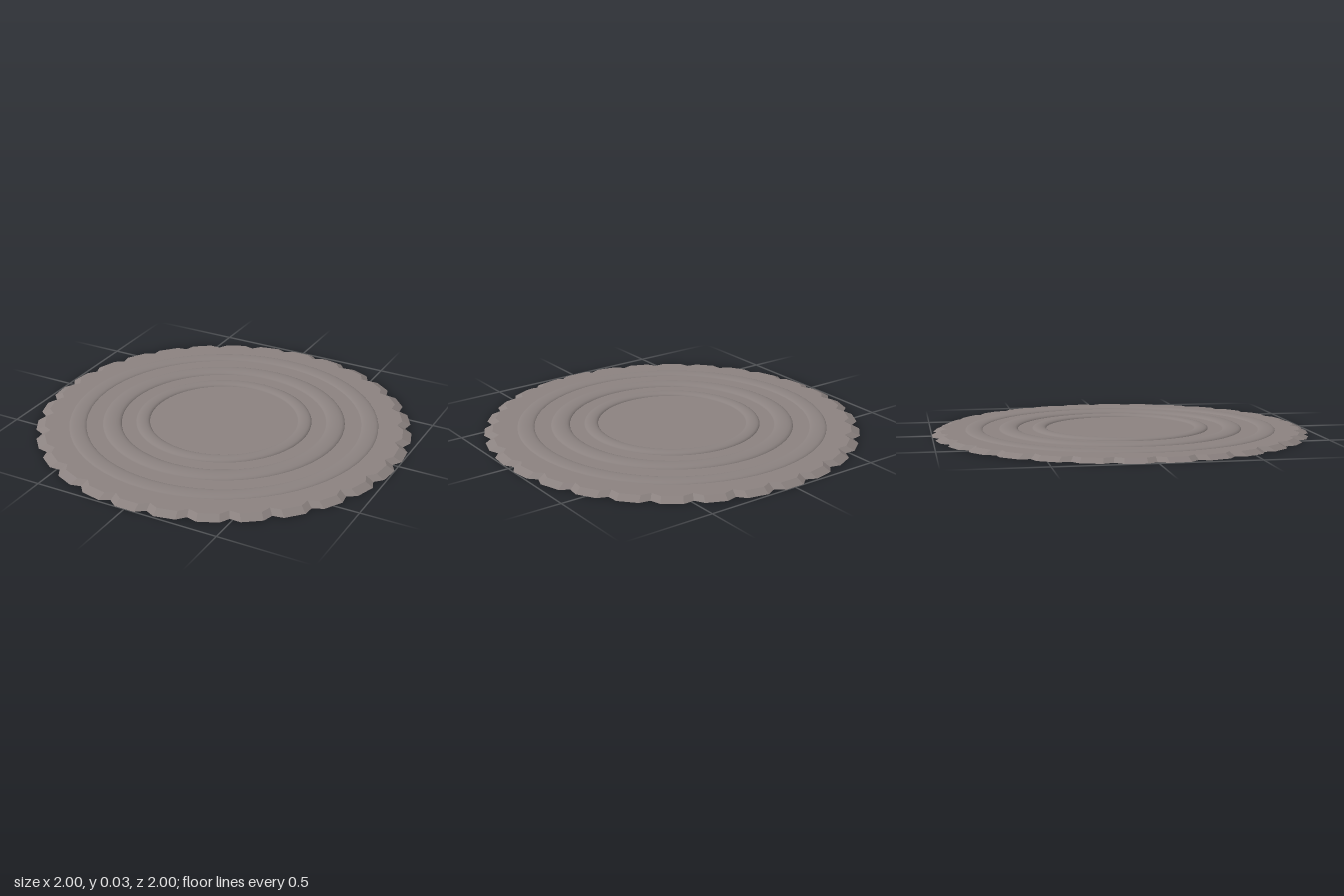
import * as THREE from 'three';

const SCALLOPS = 30;
const PLATE_TOP = 0.02;

// Scalloped outline: each lobe has a notch and two tips, lobes centred on +z and -z
function outline(scale) {
  const points = [];
  const step = (Math.PI * 2) / SCALLOPS;
  for (let i = 0; i < SCALLOPS; i++) {
    for (const [offset, radius] of [[-0.5, 0.968], [-0.26, 1.0], [0.26, 1.0]]) {
      const a = (i + offset) * step;
      points.push(new THREE.Vector2(Math.sin(a) * radius * scale, Math.cos(a) * radius * scale));
    }
  }
  return points;
}

// Sloping facets between the bottom outline and the top outline
function bevelGeometry(outer, inner, height) {
  const positions = [];
  const n = outer.length;
  for (let i = 0; i < n; i++) {
    const j = (i + 1) % n;
    const o0 = [outer[i].x, 0, outer[i].y];
    const o1 = [outer[j].x, 0, outer[j].y];
    const t0 = [inner[i].x, height, inner[i].y];
    const t1 = [inner[j].x, height, inner[j].y];
    positions.push(...o0, ...o1, ...t1, ...o0, ...t1, ...t0);
  }
  const geometry = new THREE.BufferGeometry();
  geometry.setAttribute('position', new THREE.Float32BufferAttribute(positions, 3));
  geometry.computeVertexNormals();
  return geometry;
}

// Rounded ring raised above the plate, profile running from outside to inside
function ridgeGeometry(innerRadius, outerRadius, height) {
  const mid = (innerRadius + outerRadius) / 2;
  const half = (outerRadius - innerRadius) / 2;
  const profile = [];
  for (let i = 0; i <= 8; i++) {
    const a = (i / 8) * Math.PI;
    profile.push(new THREE.Vector2(mid + Math.cos(a) * half, PLATE_TOP + Math.sin(a) * height));
  }
  return new THREE.LatheGeometry(profile, 60);
}

export function createModel() {
  const group = new THREE.Group();
  const stone = new THREE.MeshStandardMaterial({ color: 0x8b8280 });
  stone.name = 'warm grey';

  const add = (name, geometry) => {
    const mesh = new THREE.Mesh(geometry, stone);
    mesh.name = name;
    group.add(mesh);
    return mesh;
  };

  const outer = outline(1);
  const inner = outline(0.955);

  // Plate: underside, bevelled scalloped rim and flat top
  add('underside', new THREE.ShapeGeometry(new THREE.Shape(outer)).rotateX(Math.PI / 2));
  add('scallopedRim', bevelGeometry(outer, inner, PLATE_TOP));
  add('plateTop', new THREE.ShapeGeometry(new THREE.Shape(inner)).rotateX(-Math.PI / 2))
    .position.y = PLATE_TOP;

  // Three concentric raised rings
  add('innerRidge', ridgeGeometry(0.396, 0.47, 0.013));
  add('middleRidge', ridgeGeometry(0.547, 0.647, 0.014));
  add('outerRidge', ridgeGeometry(0.735, 0.825, 0.01));

  return group;
}
